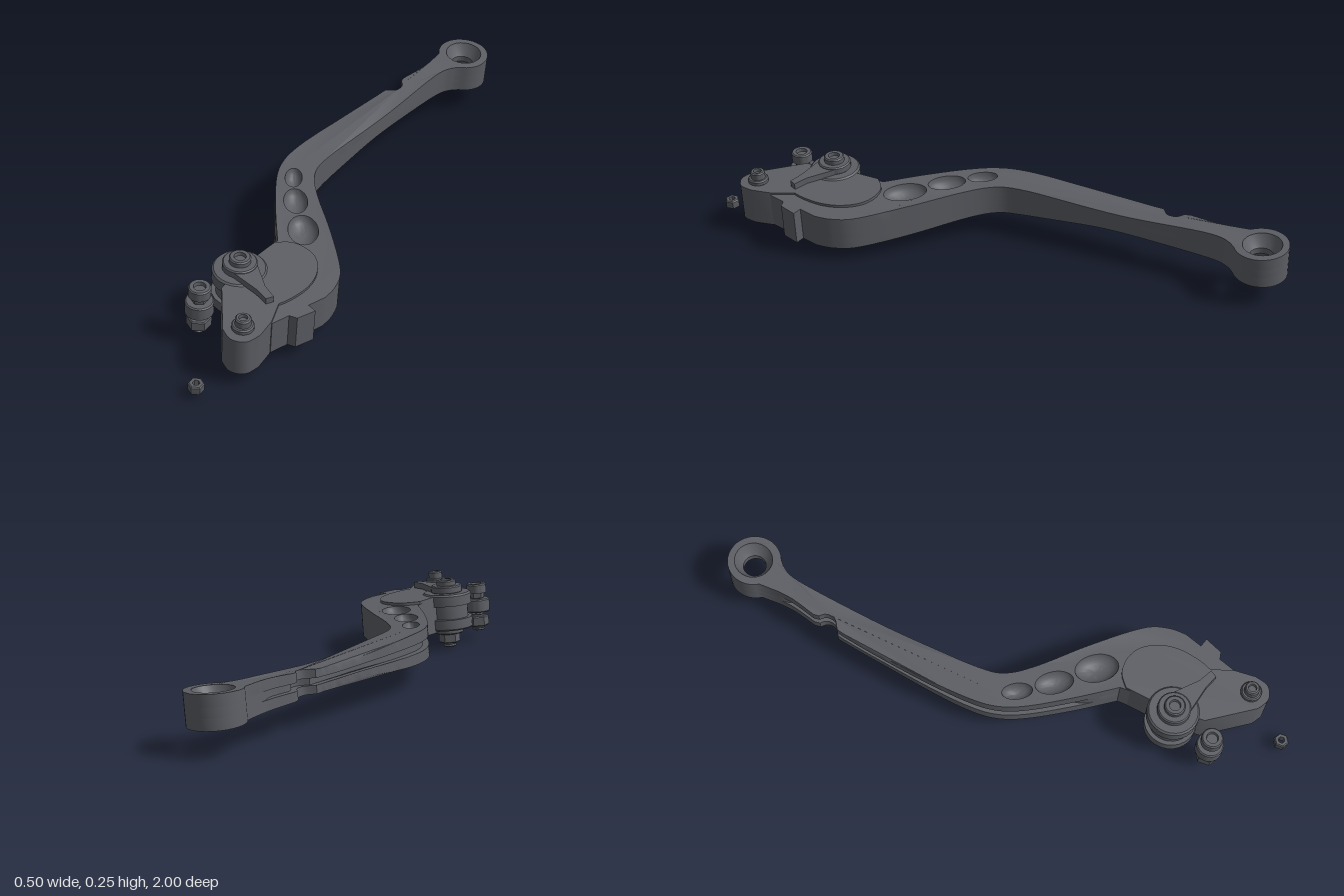
import * as THREE from 'three';
import { toCreasedNormals } from 'three/addons/utils/BufferGeometryUtils.js';

const TILT = 0.085; // the whole lever is rolled slightly
const metal = new THREE.MeshStandardMaterial({ color: 0x5c5e64 });
metal.name = 'dark grey metal';

// Lever section along z: [z, centre height, thickness]
const SECTIONS = [
  [-1, 0.142, 0.11], [-0.8, 0.14, 0.1], [-0.4, 0.135, 0.068],
  [0, 0.129, 0.106], [0.35, 0.128, 0.118], [0.9, 0.129, 0.122],
];
function heightAt(z, t) {
  let i = 0;
  while (i < SECTIONS.length - 2 && z > SECTIONS[i + 1][0]) i++;
  const [a, b] = [SECTIONS[i], SECTIONS[i + 1]];
  const k = THREE.MathUtils.smoothstep(z, a[0], b[0]);
  const mid = THREE.MathUtils.lerp(a[1], b[1], k);
  const thick = THREE.MathUtils.lerp(a[2], b[2], k);
  return mid + (t - 0.5) * thick;
}

// Turns a geometry whose y is 0..1 into one following the lever thickness
function warp(geo) {
  const p = geo.attributes.position;
  for (let i = 0; i < p.count; i++) p.setY(i, heightAt(p.getZ(i), p.getY(i)));
  return geo;
}

function mesh(parent, name, geo, crease = 0.6) {
  const m = new THREE.Mesh(toCreasedNormals(geo, crease), metal);
  m.name = name;
  parent.add(m);
  return m;
}

// Smooth run through [x, z] points
function spline(points, n = 30) {
  const c = new THREE.SplineCurve(points.map(([x, z]) => new THREE.Vector2(x, z)));
  return c.getPoints(n).map((v) => [v.x, v.y]);
}

function ellipse(x, z, rx, rz, angle, n = 28) {
  return Array.from({ length: n }, (_, i) => {
    const a = (i / n) * Math.PI * 2;
    const u = rx * Math.cos(a), v = rz * Math.sin(a);
    return [x + u * Math.cos(angle) + v * Math.sin(angle), z - u * Math.sin(angle) + v * Math.cos(angle)];
  });
}

// Plate with an [x, z] outline from height y0 to y1
function plate(outline, y0, y1, holes = []) {
  const v = (list) => list.map(([x, z]) => new THREE.Vector2(x, -z));
  const shape = new THREE.Shape(v(outline));
  holes.forEach((h) => shape.holes.push(new THREE.Path(v(h))));
  const g = new THREE.ExtrudeGeometry(shape, { depth: y1 - y0, bevelEnabled: false });
  return g.rotateX(-Math.PI / 2).translate(0, y0, 0);
}

const lathe = (points, sides = 28) =>
  new THREE.LatheGeometry(points.map(([r, y]) => new THREE.Vector2(r, y)), sides);

const disc = (r, y0, y1, sides = 28) => {
  const c = Math.min(0.004, (y1 - y0) / 4);
  return lathe([[0, y0], [r - c, y0], [r, y0 + c], [r, y1 - c], [r - c, y1], [0, y1]], sides);
};

// Round bolt head with a sunken socket
const socketHead = (r, y0, y1) => lathe([
  [0, y0], [r, y0], [r, y1 - 0.004], [r - 0.004, y1],
  [r * 0.55, y1], [r * 0.5, y1 - 0.012], [0, y1 - 0.012]]);

// Ridged thread
function thread(r, y0, y1) {
  const n = Math.max(2, Math.round((y1 - y0) / 0.007));
  const pts = [[0, y0]];
  for (let i = 0; i <= n; i++) {
    const y = y0 + ((y1 - y0) * i) / n;
    pts.push([r * 0.86, y]);
    if (i < n) pts.push([r, y + (y1 - y0) / n / 2]);
  }
  pts.push([0, y1]);
  return lathe(pts, 18);
}

// Lever outline; the inset carves the groove in the outer side
function leverOutline(inset) {
  const inner = spline([
    [0.235, 0.555], [0.235, 0.49], [0.204, 0.41], [0.08, 0.265], [-0.05, 0.13], [-0.115, 0.04],
    [-0.13, -0.05], [-0.115, -0.24], [-0.087, -0.5], [-0.055, -0.74], [-0.022, -0.81]], 60);
  const eye = [];
  for (let a = 65; a >= -215; a -= 10) {
    const r = THREE.MathUtils.degToRad(a);
    eye.push([-0.04 + 0.092 * Math.cos(r), -0.909 + 0.091 * Math.sin(r)]);
  }
  const outer = [
    ...spline([[-0.117, -0.79], [-0.125, -0.73], [-0.15, -0.645]], 8),
    [-0.148, -0.625], ...spline([[-0.136, -0.612], [-0.131, -0.595], [-0.138, -0.57], [-0.17, -0.55]], 8),
    ...spline([[-0.175, -0.53], [-0.2, -0.4], [-0.23, -0.21], [-0.246, -0.05], [-0.24, 0.05],
      [-0.204, 0.143], [-0.12, 0.28], [-0.03, 0.41]], 50),
  ].map(([x, z]) => {
    const k = THREE.MathUtils.smoothstep(z, -0.78, -0.7) * (1 - THREE.MathUtils.smoothstep(z, 0.24, 0.34));
    return [x + inset * k, z];
  });
  const head = [[-0.03, 0.6], [-0.03, 0.68], [0.1, 0.76], [0.165, 0.75], [0.188, 0.69],
    [0.215, 0.685], [0.243, 0.625], [0.212, 0.615]];
  return [...inner, ...eye, ...outer, ...head];
}

export function createModel() {
  const root = new THREE.Group();
  root.name = 'handLever';
  const body = new THREE.Group();
  body.name = 'leverAssembly';
  body.rotation.z = -TILT;
  body.position.x = -0.011;
  root.add(body);

  // Lever: two flanges and a web set back between them
  const pockets = [[-0.165, 0.095, 0.029, 0.052, 0.5], [-0.092, 0.2, 0.04, 0.066, 0.6], [0.008, 0.315, 0.05, 0.075, 0.6]];
  const pocketHoles = pockets.map((p) => ellipse(...p));
  const eyeHole = ellipse(-0.04, -0.912, 0.065, 0.065, 0);
  const flange = leverOutline(0);
  mesh(body, 'lowerFlange', warp(plate(flange, 0, 0.35, [eyeHole, ...pocketHoles])));
  mesh(body, 'web', warp(plate(leverOutline(0.024), 0.35, 0.64, [eyeHole])));
  mesh(body, 'upperFlange', warp(plate(flange, 0.64, 1, [eyeHole, ...pocketHoles])));

  // Dished eye at the pivot end
  const eye = lathe([[0.066, 1], [0.054, 0.78], [0.039, 0.6], [0.039, 0.4], [0.054, 0.22], [0.066, 0]]);
  mesh(body, 'eyeDish', warp(eye.translate(-0.04, 0, -0.912)));

  // Scooped pockets on both faces
  const curve = [0, 1, 2, 3, 4, 5].map((i) => (i / 5) * Math.PI / 2);
  for (const [x, z, rx, rz, a] of pockets) {
    const top = curve.map((c) => [Math.cos(c), 1 - 0.35 * Math.sin(c)]);
    const bottom = curve.map((c) => [Math.cos(c), 0.34 * Math.sin(c)]).reverse();
    for (const profile of [top, bottom]) {
      const g = lathe(profile).scale(rx, 1, rz).rotateY(a).translate(x, 0, z);
      mesh(body, 'pocket', warp(g), 0.9);
    }
  }

  // Clamp block with a round back and a narrow tip
  const block = [
    ...spline([[-0.028, 0.43], [0.02, 0.398], [0.08, 0.4], [0.13, 0.43], [0.163, 0.49],
      [0.17, 0.56], [0.155, 0.63], [0.138, 0.67]], 28),
    [0.163, 0.75],
    ...spline([[0.167, 0.82], [0.15, 0.868], [0.105, 0.885], [0.06, 0.862]], 14),
    [-0.045, 0.71], [-0.05, 0.6],
  ];
  mesh(body, 'clampBlock', plate(block, 0.064, 0.197));

  // Adjuster drum, pointer and pivot bolt
  const pivot = new THREE.Group();
  pivot.name = 'adjuster';
  pivot.position.set(-0.05, 0, 0.602);
  body.add(pivot);
  mesh(pivot, 'drum', lathe([[0, 0.07], [0.084, 0.07], [0.088, 0.075], [0.088, 0.11], [0.074, 0.11],
    [0.074, 0.16], [0.088, 0.16], [0.088, 0.196], [0.082, 0.202], [0, 0.202]]));
  mesh(pivot, 'lowerBoss', disc(0.054, 0.05, 0.072));
  mesh(pivot, 'upperBoss', disc(0.056, 0.2, 0.228));
  mesh(pivot, 'boltHead', socketHead(0.035, 0.226, 0.247));
  mesh(pivot, 'hexNut', disc(0.039, 0.014, 0.051, 6));
  mesh(pivot, 'boltThread', thread(0.025, -0.001, 0.016));
  mesh(body, 'pointer', plate([[-0.02, 0.56], [0.075, 0.65], [0.122, 0.675], [0.108, 0.697],
    [0.06, 0.678], [-0.04, 0.655]], 0.2, 0.222));

  // Tip bolt through the clamp block
  const tip = new THREE.Group();
  tip.name = 'tipBolt';
  tip.position.set(0.106, 0, 0.822);
  body.add(tip);
  mesh(tip, 'washer', disc(0.035, 0.194, 0.213));
  mesh(tip, 'boltHead', socketHead(0.025, 0.21, 0.238));
  mesh(tip, 'hexNut', disc(0.036, 0.038, 0.072, 6));
  mesh(tip, 'boltEnd', disc(0.025, 0.032, 0.04));

  // Separate adjusting screw beside the drum
  const screw = new THREE.Group();
  screw.name = 'adjustingScrew';
  screw.position.set(-0.098, 0, 0.752);
  body.add(screw);
  mesh(screw, 'screwHead', socketHead(0.036, 0.173, 0.207));
  mesh(screw, 'hexShank', disc(0.028, 0.15, 0.175, 6));
  mesh(screw, 'collar', disc(0.046, 0.102, 0.151));
  mesh(screw, 'screwThread', thread(0.024, 0.032, 0.104));
  mesh(screw, 'hexNut', disc(0.04, 0.048, 0.086, 6));

  // Loose nut in front
  const nut = mesh(body, 'looseNut', lathe([[0.012, 0.025], [0.025, 0.025], [0.026, 0.03], [0.026, 0.05],
    [0.022, 0.054], [0.012, 0.054], [0.012, 0.025]], 6));
  nut.position.set(0.044, 0, 0.974);

  return root;
}
